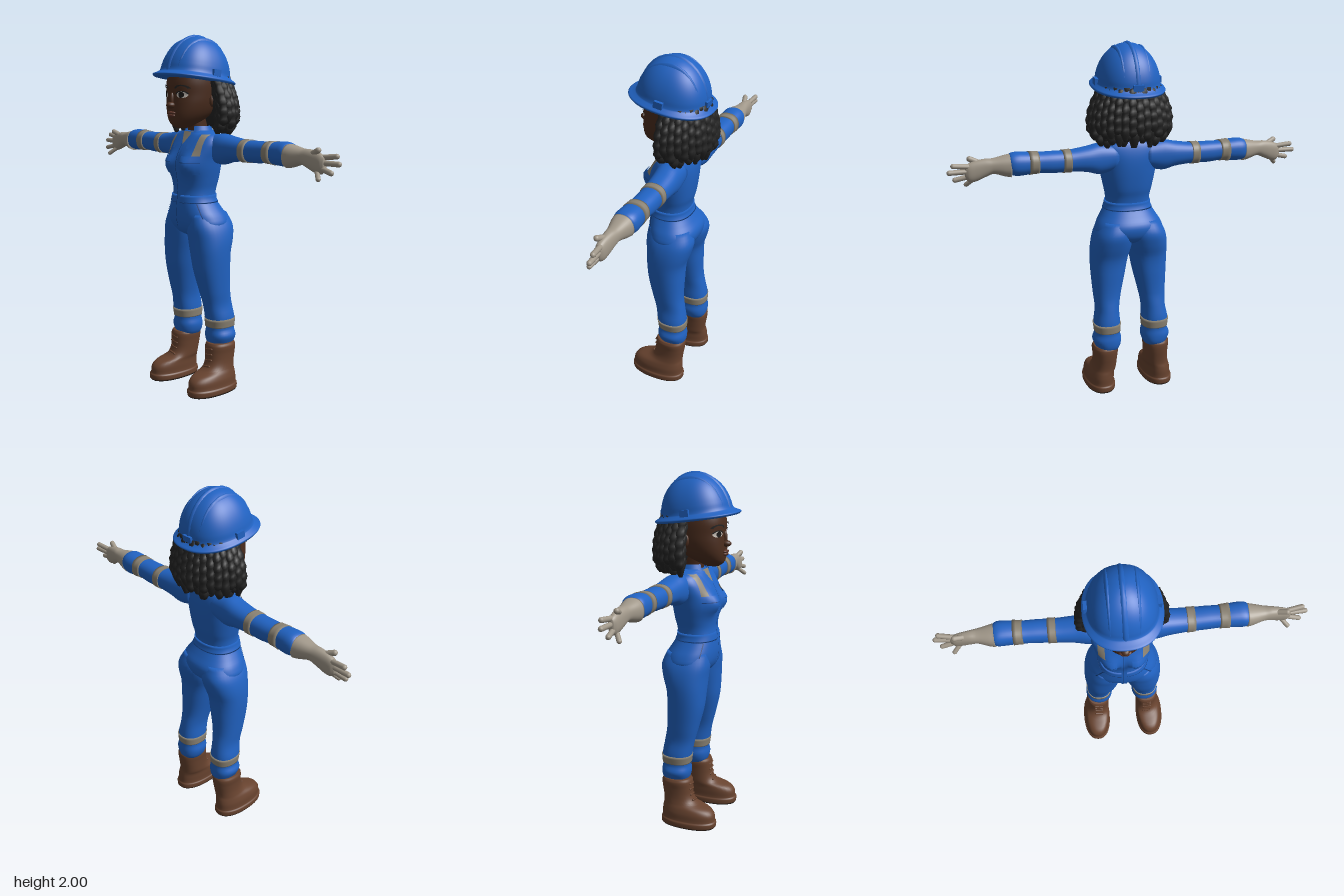
import * as THREE from 'three';

const paint = (name, color, side = THREE.FrontSide) => {
  const m = new THREE.MeshStandardMaterial({ color, side });
  m.name = name;
  return m;
};
const N = 2.3; // roundness of all cross-sections

// Smooth value of a row table at height y; row = [y, xMin, xMax, zMin, zMax]
function sample(rows, y) {
  let i = 0;
  while (i < rows.length - 2 && y > rows[i + 1][0]) i++;
  const a = rows[i], b = rows[i + 1], p = rows[Math.max(i - 1, 0)], q = rows[Math.min(i + 2, rows.length - 1)];
  const h = b[0] - a[0], t = THREE.MathUtils.clamp((y - a[0]) / h, 0, 1), t2 = t * t, t3 = t2 * t;
  return a.map((v, k) => {
    const m0 = (b[k] - p[k]) / (b[0] - p[0]) * h, m1 = (q[k] - v) / (q[0] - a[0]) * h;
    return v * (2 * t3 - 3 * t2 + 1) + m0 * (t3 - 2 * t2 + t) + b[k] * (3 * t2 - 2 * t3) + m1 * (t3 - t2);
  });
}

// Closed skin through the rows
function loft(rows, { from = rows[0][0], to = rows.at(-1)[0], grow = 0, seg = 36, sub = 4 } = {}) {
  const ys = [from], pos = [], index = [];
  for (let i = 0; i < rows.length - 1; i++)
    for (let k = 0; k < sub; k++) {
      const y = rows[i][0] + (rows[i + 1][0] - rows[i][0]) * k / sub;
      if (y > from + 1e-4 && y < to - 1e-4) ys.push(y);
    }
  ys.push(to);
  const pw = v => Math.sign(v) * Math.abs(v) ** (2 / N);
  for (const y of ys) {
    const [, x0, x1, z0, z1] = sample(rows, y);
    for (let j = 0; j < seg; j++) {
      const a = j / seg * Math.PI * 2, s = Math.sin(a);
      const x = (x0 + x1) / 2 + ((x1 - x0) / 2 + grow) * pw(Math.cos(a));
      const bump = rows.bump && s > 0 ? rows.bump(x, y) * Math.min(1, s * 2) : 0;
      pos.push(x, y, (z0 + z1) / 2 + ((z1 - z0) / 2 + grow) * pw(s) + bump);
    }
  }
  const last = (ys.length - 1) * seg, c0 = last + seg;
  for (const y of [from, to]) {
    const r = sample(rows, y);
    pos.push((r[1] + r[2]) / 2, y, (r[3] + r[4]) / 2);
  }
  for (let j = 0; j < seg; j++) {
    const k = (j + 1) % seg;
    for (let o = 0; o < last; o += seg) index.push(o + j, o + seg + j, o + k, o + k, o + seg + j, o + seg + k);
    index.push(c0, j, k, c0 + 1, last + k, last + j);
  }
  const g = new THREE.BufferGeometry();
  g.setAttribute('position', new THREE.Float32BufferAttribute(pos, 3));
  g.setIndex(index);
  g.computeVertexNormals();
  return g;
}

// Lay a flat geometry onto the front of a lofted body
function drape(geo, rows, off) {
  const p = geo.attributes.position;
  for (let i = 0; i < p.count; i++) {
    const x = p.getX(i), y = p.getY(i), [, x0, x1, z0, z1] = sample(rows, y);
    const u = Math.min(1, Math.abs(x - (x0 + x1) / 2) / ((x1 - x0) / 2));
    p.setZ(i, (z0 + z1) / 2 + (z1 - z0) / 2 * (1 - u ** N) ** (1 / N) + (rows.bump ? rows.bump(x, y) : 0) + off);
  }
  geo.computeVertexNormals();
  return geo;
}
// Draped four-sided patch: bottom edge [x0, x1, y], top edge [x0, x1, y]
function patch(rows, b, t, off) {
  const g = new THREE.PlaneGeometry(1, 1, 6, 14), p = g.attributes.position;
  for (let i = 0; i < p.count; i++) {
    const u = p.getX(i) + 0.5, v = p.getY(i) + 0.5, mix = THREE.MathUtils.lerp;
    p.setXY(i, mix(mix(b[0], b[1], u), mix(t[0], t[1], u), v), mix(b[2], t[2], v));
  }
  return drape(g, rows, off);
}
const ball = (x, y, z, rx, ry, rz) => new THREE.SphereGeometry(1, 24, 16).scale(rx, ry, rz).translate(x, y, z);
function capsule(a, b, r) {
  const A = new THREE.Vector3(...a), d = new THREE.Vector3(...b).sub(A), L = d.length();
  const q = new THREE.Quaternion().setFromUnitVectors(new THREE.Vector3(0, 1, 0), d.clone().normalize());
  return new THREE.CapsuleGeometry(r, L, 6, 12).translate(0, L / 2, 0).applyQuaternion(q).translate(...a);
}
const wide = rows => rows.map(([y, w, z0, z1]) => [y, -w, w, z0, z1]);
const sideways = rows => rows.map(([t, y0, y1, z0, z1]) => [t, -y1, -y0, z0, z1]);

export function createModel() {
  const model = new THREE.Group();
  const blue = paint('workwear blue', 0x2163c3, THREE.DoubleSide), seam = paint('seam navy', 0x143f80, THREE.DoubleSide);
  const tape = paint('reflective tape', 0x8a8273, THREE.DoubleSide), glove = paint('glove leather', 0xa1988a);
  const skin = paint('skin', 0x4b2d1e), lip = paint('lips', 0x5a3328), hair = paint('hair black', 0x242424, THREE.DoubleSide);
  const boot = paint('boot brown', 0x68432f), sole = paint('sole black', 0x1b1918), white = paint('eye white', 0xc4bcb4);
  const add = (name, geo, mat) => {
    const m = new THREE.Mesh(geo, mat);
    m.name = name;
    model.add(m);
  };
  const both = (name, geo, mat) => {
    add(name + 'Left', geo, mat);
    const g = geo.clone().scale(-1, 1, 1), ix = g.index.array;
    for (let i = 0; i < ix.length; i += 3) [ix[i], ix[i + 1]] = [ix[i + 1], ix[i]];
    add(name + 'Right', g, mat);
  };

  // Overall body
  const torso = wide([[0.885, 0.04, -0.08, 0.05], [0.91, 0.12, -0.125, 0.095], [0.95, 0.192, -0.15, 0.12], [1, 0.185, -0.152, 0.13],
    [1.05, 0.155, -0.122, 0.13], [1.1, 0.128, -0.095, 0.125], [1.15, 0.125, -0.097, 0.118], [1.2, 0.135, -0.11, 0.122],
    [1.27, 0.15, -0.12, 0.13], [1.33, 0.16, -0.125, 0.125], [1.38, 0.172, -0.125, 0.105], [1.42, 0.175, -0.12, 0.082],
    [1.455, 0.15, -0.11, 0.06], [1.48, 0.08, -0.095, 0.045]]);
  torso.bump = (x, y) => 0.034 * Math.exp(-(((Math.abs(x) - 0.075) / 0.05) ** 2) - ((y - 1.295) / 0.055) ** 2);
  add('torso', loft(torso, { seg: 64 }), blue);
  add('waistband', loft(torso, { from: 1.085, to: 1.125, grow: 0.005, seg: 64 }), blue);
  add('waistSeam', loft(torso, { from: 1.081, to: 1.085, grow: 0.004, seg: 64 }), seam);
  add('placket', patch(torso, [-0.016, 0.016, 0.95], [-0.016, 0.016, 1.41], 0.006), blue);
  add('zipSeam', patch(torso, [-0.008, -0.005, 0.95], [-0.008, -0.005, 1.41], 0.008), seam);
  both('chestPocket', patch(torso, [0.045, 0.13, 1.245], [0.04, 0.138, 1.32], 0.006), blue);
  both('pocketSeam', patch(torso, [0.04, 0.138, 1.308], [0.04, 0.138, 1.312], 0.009), seam);
  both('pocketFlap', patch(torso, [0.04, 0.138, 1.312], [0.04, 0.138, 1.345], 0.011), blue);
  both('hipPocketSeam', patch(torso, [0.155, 0.159, 1.0], [0.112, 0.116, 1.08], 0.006), seam);
  both('chestTape', patch(torso, [0.1, 0.136, 1.345], [0.1, 0.136, 1.462], 0.007), tape);

  // Collar and neck
  add('undershirt', patch(torso, [-0.001, 0.001, 1.405], [-0.04, 0.04, 1.475], 0.008), tape);
  both('collarFlap', patch(torso, [0.05, 0.068, 1.385], [0.032, 0.098, 1.472], 0.014), blue);
  both('collarInner', patch(torso, [0.006, 0.052, 1.405], [0.034, 0.07, 1.46], 0.012), blue);
  add('collarStand', new THREE.CylinderGeometry(0.068, 0.09, 0.06, 32, 1, true, 0.5, Math.PI * 2 - 1).translate(0, 1.475, -0.02), blue);
  add('neck', loft(wide([[1.42, 0.055, -0.08, 0.04], [1.48, 0.047, -0.07, 0.042], [1.57, 0.05, -0.07, 0.06]])), skin);

  // Arms, sleeve tape and gloves
  const arm = sideways([[0.08, 1.32, 1.455, -0.115, 0.03], [0.18, 1.297, 1.467, -0.122, 0.025], [0.25, 1.315, 1.455, -0.125, 0.015],
    [0.35, 1.325, 1.442, -0.122, 0.005], [0.45, 1.325, 1.442, -0.124, 0], [0.53, 1.332, 1.442, -0.122, -0.002],
    [0.62, 1.324, 1.45, -0.13, 0.002], [0.665, 1.33, 1.445, -0.125, 0], [0.685, 1.35, 1.425, -0.105, -0.02]]);
  both('sleeve', loft(arm).rotateZ(-Math.PI / 2), blue);
  for (const [from, to] of [[0.345, 0.39], [0.52, 0.572]])
    both('sleeveTape', loft(arm, { from, to, grow: 0.004 }).rotateZ(-Math.PI / 2), tape);
  const hand = sideways([[0.668, 1.318, 1.442, -0.122, 0.002], [0.7, 1.325, 1.436, -0.115, -0.004], [0.76, 1.342, 1.424, -0.1, -0.022],
    [0.8, 1.328, 1.424, -0.094, -0.026], [0.85, 1.308, 1.416, -0.088, -0.03], [0.885, 1.306, 1.404, -0.082, -0.034], [0.905, 1.325, 1.39, -0.07, -0.045]]);
  both('gloveCuffAndPalm', loft(hand).rotateZ(-Math.PI / 2), glove);
  const fingers = [['thumb', [0.82, 1.4, -0.055], [0.876, 1.424, -0.04], 0.015], ['indexFinger', [0.88, 1.388, -0.062], [0.965, 1.398, -0.074], 0.014],
    ['middleFinger', [0.88, 1.362, -0.06], [0.986, 1.362, -0.066], 0.014], ['ringFinger', [0.875, 1.337, -0.056], [0.957, 1.318, -0.045], 0.0135],
    ['littleFinger', [0.86, 1.32, -0.052], [0.898, 1.285, -0.02], 0.0125]];
  for (const [name, a, b, r] of fingers) both(name, capsule(a, b, r), glove);

  // Legs
  const leg = [[0.25, 0.09, 0.2, -0.125, 0], [0.28, 0.072, 0.215, -0.14, 0.018], [0.32, 0.064, 0.23, -0.143, 0.026], [0.36, 0.072, 0.216, -0.138, 0.022],
    [0.42, 0.07, 0.22, -0.14, 0.03], [0.5, 0.072, 0.207, -0.128, 0.045], [0.58, 0.058, 0.212, -0.115, 0.066], [0.7, 0.03, 0.22, -0.115, 0.094],
    [0.8, 0.01, 0.224, -0.12, 0.104], [0.88, -0.008, 0.22, -0.145, 0.11], [0.95, -0.01, 0.203, -0.157, 0.117], [1.02, 0.01, 0.165, -0.13, 0.11]];
  both('trouserLeg', loft(leg), blue);
  both('legTape', loft(leg, { from: 0.37, to: 0.418, grow: 0.004 }), tape);

  // Boots
  const foot = [[0.006, 0.09, 0.262, -0.14, 0.19], [0.032, 0.09, 0.262, -0.14, 0.192], [0.042, 0.096, 0.255, -0.134, 0.185], [0.08, 0.096, 0.252, -0.133, 0.18],
    [0.108, 0.096, 0.244, -0.13, 0.15], [0.132, 0.092, 0.233, -0.126, 0.075], [0.17, 0.09, 0.226, -0.13, 0.046], [0.22, 0.086, 0.226, -0.138, 0.04],
    [0.262, 0.082, 0.23, -0.14, 0.037], [0.28, 0.09, 0.222, -0.13, 0.028]];
  both('boot', loft(foot), boot);
  both('sole', loft([[0, 0.094, 0.258, -0.136, 0.186], [0.008, 0.09, 0.262, -0.14, 0.19]], { sub: 1 }), sole);
  for (let i = 0; i < 4; i++) {
    const y = 0.145 + i * 0.032, z = sample(foot, y)[4] - 0.004;
    both('bootLace', capsule([0.135, y, z], [0.18, y + 0.008, z], 0.006), boot);
  }

  // Head and face
  const head = wide([[1.497, 0.03, 0.06, 0.135], [1.515, 0.053, 0.02, 0.16], [1.54, 0.083, -0.03, 0.17], [1.58, 0.11, -0.09, 0.174],
    [1.63, 0.126, -0.13, 0.172], [1.68, 0.132, -0.15, 0.168], [1.74, 0.135, -0.16, 0.17], [1.81, 0.13, -0.15, 0.15]]);
  add('head', loft(head, { seg: 48 }), skin);
  add('noseTip', ball(0, 1.622, 0.176, 0.024, 0.018, 0.03), skin);
  add('noseBridge', ball(0, 1.65, 0.168, 0.012, 0.04, 0.016), skin);
  add('upperLip', ball(0, 1.58, 0.174, 0.032, 0.009, 0.016), lip);
  add('lowerLip', ball(0, 1.566, 0.172, 0.028, 0.011, 0.017), lip);
  both('ear', ball(0.133, 1.645, -0.01, 0.014, 0.036, 0.024), skin);
  const arc = (r, rx, ry, y) => drape(new THREE.RingGeometry(r, 1, 16, 1, 0.25, Math.PI - 0.5).scale(rx, ry, 1).translate(0.066, y, 0), head, 0.006);
  const disc = (x, r, ry, off) => drape(new THREE.CircleGeometry(1, 24).scale(r, ry, 1).translate(x, 1.678, 0), head, off);
  both('eye', disc(0.066, 0.029, 0.017, 0.003), white);
  both('iris', disc(0.064, 0.015, 0.016, 0.005), sole);
  both('lashes', arc(0.78, 0.034, 0.022, 1.678), hair);
  both('brow', arc(0.72, 0.042, 0.026, 1.706), hair);

  // Hair: dark core with rings of beaded locks
  add('hairCore', loft(wide([[1.5, 0.13, -0.17, -0.05], [1.56, 0.165, -0.195, -0.02], [1.66, 0.165, -0.19, 0], [1.8, 0.13, -0.16, 0]])), hair);
  for (const [count, grow, bottom] of [[19, 1, 1.51], [16, 0.82, 1.475], [12, 0.62, 1.465]])
    for (let i = 0; i < count; i++) {
      const a = -0.08 + i / (count - 1) * (Math.PI + 0.16), low = bottom + 0.018 * Math.sin(i * 2.4), rows = [];
      for (let k = 0; k <= 10; k++) {
        const y = low + (1.775 - low) * k / 10, out = Math.sin((1 - k / 10) * 2.1) * 0.07 * grow;
        const x = Math.cos(a) * (0.148 * (0.7 + 0.3 * grow) + out), z = -0.025 - Math.sin(a) * (0.142 * (0.7 + 0.3 * grow) + out * 0.65);
        const r = k === 0 ? 0.01 : (k + i) % 2 ? 0.027 : 0.02;
        rows.push([y, x - r, x + r, z - r, z + r]);
      }
      add('hairLock', loft(rows, { seg: 9, sub: 2 }), hair);
    }

  // Hard hat, tipped back a little
  const shell = [[-0.012, 0.194, -0.227, 0.23], [0, 0.2, -0.234, 0.238], [0.012, 0.188, -0.212, 0.215], [0.024, 0.176, -0.197, 0.197]];
  for (let i = 1; i <= 10; i++) {
    const t = 0.12 + i / 10 * (Math.PI / 2 - 0.14), c = Math.cos(t);
    shell.push([0.232 * Math.sin(t), 0.175 * c, -0.197 * c, 0.195 * c]);
  }
  const hat = [['hatShell', loft(wide(shell), { seg: 64 })], ['hatRidge', ball(0, 0, 0, 0.055, 0.24, 0.202)],
    ['hatSideRidgeLeft', ball(0.07, 0.012, 0, 0.035, 0.208, 0.183)], ['hatSideRidgeRight', ball(-0.07, 0.012, 0, 0.035, 0.208, 0.183)],
    ['hatClipLeft', new THREE.BoxGeometry(0.03, 0.036, 0.05).translate(0.174, 0.032, 0)],
    ['hatClipRight', new THREE.BoxGeometry(0.03, 0.036, 0.05).translate(-0.174, 0.032, 0)],
    ['hatClipBack', new THREE.BoxGeometry(0.06, 0.036, 0.02).translate(0, 0.036, -0.194)]];
  for (const [name, g] of hat) {
    if (name.includes('Ridge')) { // keep only the upper half of each ridge
      const p = g.attributes.position;
      for (let i = 0; i < p.count; i++) p.setY(i, Math.max(p.getY(i), 0));
    }
    add(name, g.rotateX(-0.14).translate(0, 1.763, 0.01), blue);
  }
  return model;
}
